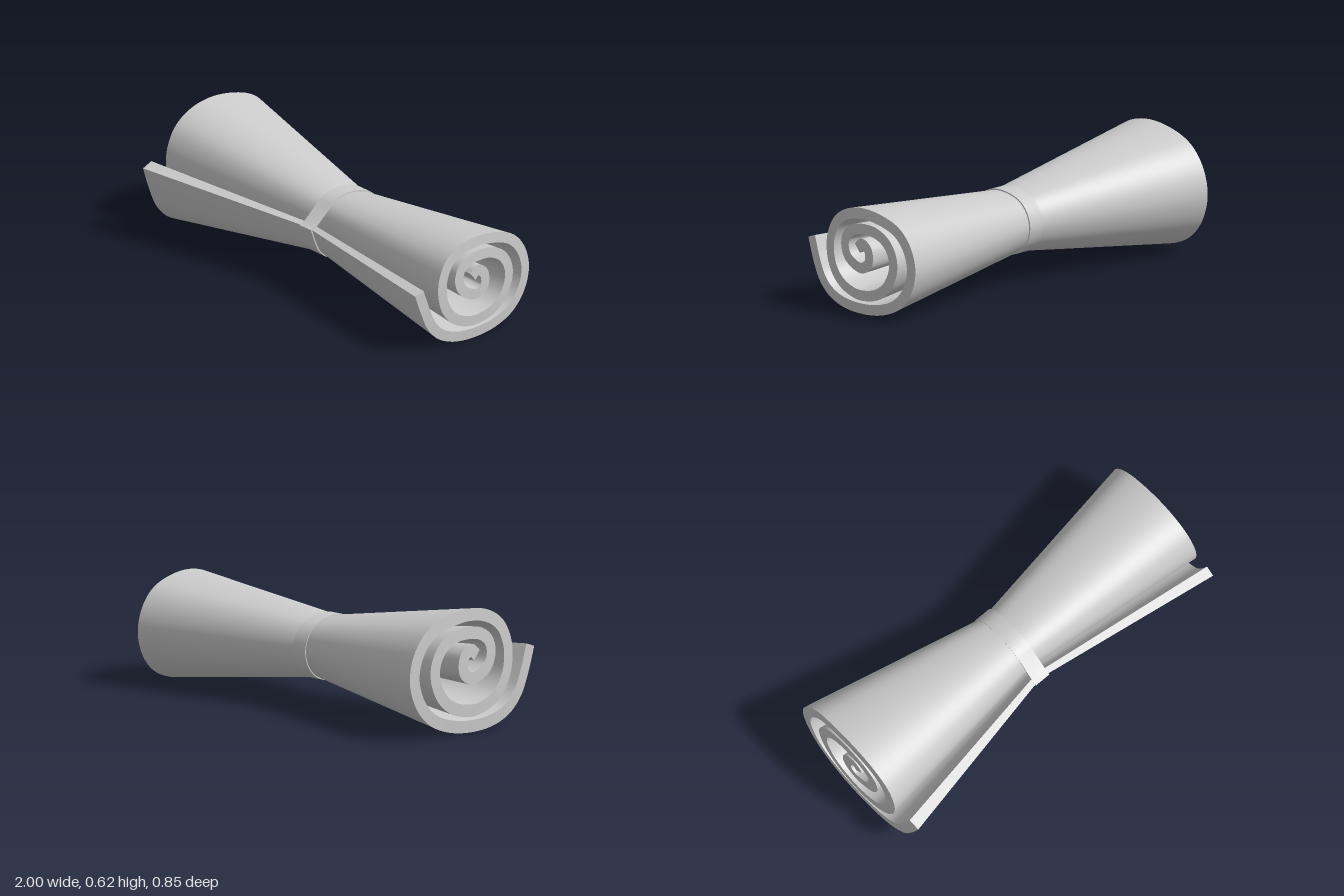
import * as THREE from 'three';
import { toCreasedNormals } from 'three/addons/utils/BufferGeometryUtils.js';

// Centre line of the rolled sheet at the +x end as [z, y], from the loose edge inwards
const PATH = [
  [.347, .329], [.311, .226], [.27, .136], [.212, .077], [.127, .041], [.008, .028],
  [-.127, .042], [-.232, .084], [-.299, .153], [-.334, .25], [-.327, .329], [-.288, .407],
  [-.219, .465], [-.049, .507], [.079, .492], [.159, .444], [.198, .375], [.208, .299],
  [.189, .214], [.143, .15], [.084, .114], [.003, .096], [-.111, .117], [-.182, .171],
  [-.219, .251], [-.217, .318], [-.178, .384], [-.11, .423], [-.042, .432], [.038, .421],
  [.088, .386], [.103, .338], [.086, .283], [.042, .249], [-.013, .235], [-.058, .265],
  [-.056, .329], [-.015, .357], [.017, .331],
];
const HALF = 0.0265; // half the sheet thickness
const STEPS = 304;
// Size and offset of the section at both ends and at the pinched waist
const STATIONS = [
  { x: -1, s: 1.155, y: 0, z: -0.008 },
  { x: 0, s: 0.575, y: 0.137, z: 0 },
  { x: 1, s: 1, y: 0, z: 0 },
];

// Both faces of the sheet, offset to either side of the centre line
function sheetEdges() {
  const curve = new THREE.CatmullRomCurve3(PATH.map(([z, y]) => new THREE.Vector3(0, y, z)));
  const outer = [], inner = [];
  for (let i = 0; i <= STEPS; i++) {
    const p = curve.getPoint(i / STEPS), d = curve.getTangent(i / STEPS);
    const n = new THREE.Vector3(0, d.z, -d.y).multiplyScalar(HALF);
    outer.push(p.clone().add(n));
    inner.push(p.clone().sub(n));
  }
  return { outer, inner };
}

// Place a section point at a station; the ends bulge slightly at the middle
function place(p, st) {
  const r2 = p.z * p.z + (p.y - 0.27) ** 2;
  return new THREE.Vector3(st.x * (1 - 0.15 * r2), p.y * st.s + st.y, p.z * st.s + st.z);
}

// Smooth surface through a grid of points
function surface(rows) {
  const w = rows[0].length, index = [];
  for (let i = 0; i < rows.length - 1; i++) {
    for (let j = 0; j < w - 1; j++) {
      const a = i * w + j, b = a + w;
      index.push(a, b, a + 1, b, b + 1, a + 1);
    }
  }
  const geo = new THREE.BufferGeometry().setFromPoints(rows.flat());
  geo.setIndex(index);
  geo.computeVertexNormals();
  return geo;
}

export function createModel() {
  const group = new THREE.Group();
  const material = new THREE.MeshStandardMaterial({ color: 0xcccccc });
  const add = (geo, name, parent) => {
    const mesh = new THREE.Mesh(geo, material);
    mesh.name = name;
    parent.add(mesh);
  };
  const { outer, inner } = sheetEdges();

  // Rolled sheet, one half on each side of the waist
  const roll = new THREE.Group();
  roll.name = 'rolledSheet';
  group.add(roll);
  for (const k of [0, 1]) {
    const a = STATIONS[k], b = STATIONS[k + 1], side = k ? 'left' : 'right';
    const span = (p) => [place(p, a), place(p, b)];
    add(surface(outer.map(span)), side + 'OuterFace', roll);
    add(surface(inner.map((p) => span(p).reverse())), side + 'InnerFace', roll);
    add(surface([inner[0], outer[0]].map(span)), side + 'LooseEdge', roll);
    add(surface([outer[STEPS], inner[STEPS]].map(span)), side + 'CoreEdge', roll);
    // Spiral end face
    const end = k ? b : a;
    const first = k ? outer : inner, second = k ? inner : outer;
    add(surface(first.map((p, i) => [place(p, end), place(second[i], end)])), side + 'EndFace', roll);
  }

  // Band pulled tight around the waist, bridging the loose edge
  const wrap = [...outer.slice(0, Math.round(STEPS * 15 / 38)).filter((p, i) => i % 2 === 0), inner[0]];
  const loop = (s) => wrap.map((p) => new THREE.Vector2(-p.z * s, (p.y - 0.2665) * s + 0.29));
  const shape = new THREE.Shape(loop(0.615));
  shape.holes.push(new THREE.Path(loop(0.585)));
  const band = new THREE.ExtrudeGeometry(shape, { depth: 0.086, bevelEnabled: false });
  band.translate(0, 0, -0.043).rotateY(Math.PI / 2);
  add(toCreasedNormals(band, 0.5), 'waistBand', group);

  return group;
}
